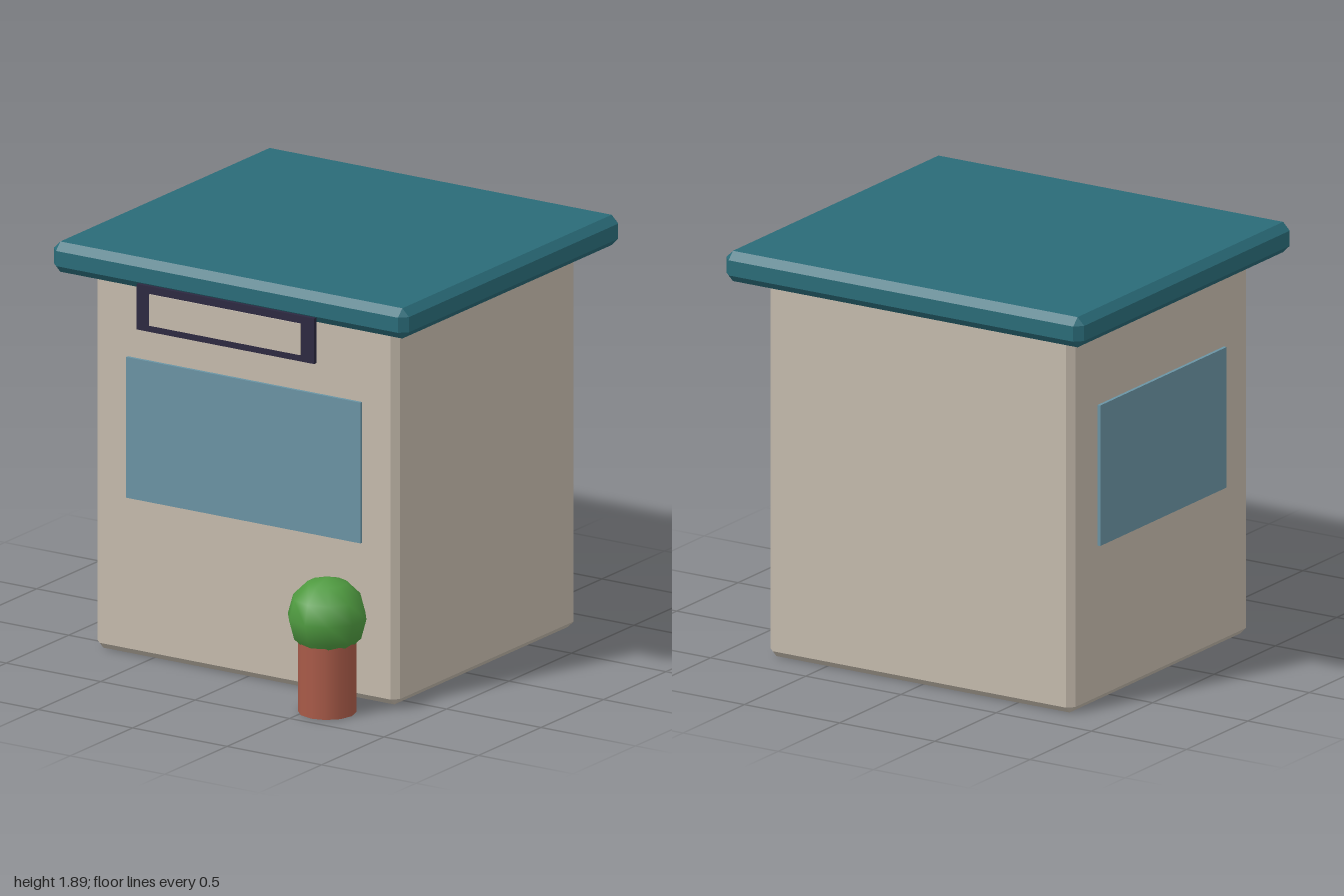
import * as THREE from 'three';
import { ConvexGeometry } from 'three/addons/geometries/ConvexGeometry.js';

const paint = (color) => new THREE.MeshStandardMaterial({ color });

// Box with every edge cut at 45 degrees by c
function chamferBox(w, h, d, c) {
  const half = [w / 2, h / 2, d / 2];
  const points = [];
  for (const sx of [-1, 1]) for (const sy of [-1, 1]) for (const sz of [-1, 1]) {
    for (let full = 0; full < 3; full++) {
      const [x, y, z] = half.map((v, i) => (i === full ? v : v - c));
      points.push(new THREE.Vector3(sx * x, sy * y, sz * z));
    }
  }
  return new ConvexGeometry(points);
}

export function createModel() {
  const group = new THREE.Group();
  const wall = paint(0xc4baac);
  const roofPaint = paint(0x2a6b78);
  const glass = paint(0x6a93a3);
  const dark = paint(0x2c2840);
  const clay = paint(0xa85a48);
  const leaf = paint(0x4f9a40);

  const add = (name, geometry, material, x, y, z) => {
    const mesh = new THREE.Mesh(geometry, material);
    mesh.name = name;
    mesh.position.set(x, y, z);
    group.add(mesh);
    return mesh;
  };

  // Building
  add('walls', chamferBox(1.6, 1.75, 1.45, 0.03), wall, 0, 0.875, -0.125);
  add('roof', chamferBox(1.88, 0.14, 1.745, 0.035), roofPaint, 0, 1.82, -0.1275);

  // Windows
  add('frontWindow', new THREE.BoxGeometry(1.24, 0.65, 0.03), glass, 0, 1.055, 0.6);
  add('sideWindow', new THREE.BoxGeometry(0.03, 0.65, 1.03), glass, -0.8, 1.055, -0.125);

  // Blank sign hung from the roof edge
  add('signBoard', new THREE.BoxGeometry(0.94, 0.21, 0.018), dark, 0, 1.675, 0.749);
  add('signPanel', new THREE.BoxGeometry(0.8, 0.145, 0.012), wall, 0, 1.673, 0.758);

  // Potted shrub
  add('pot', new THREE.CylinderGeometry(0.13, 0.13, 0.34, 12), clay, 0.58, 0.17, 0.82);
  add('shrub', new THREE.SphereGeometry(0.18, 10, 6), leaf, 0.58, 0.44, 0.82).rotation.y = Math.PI / 2;

  return group;
}
